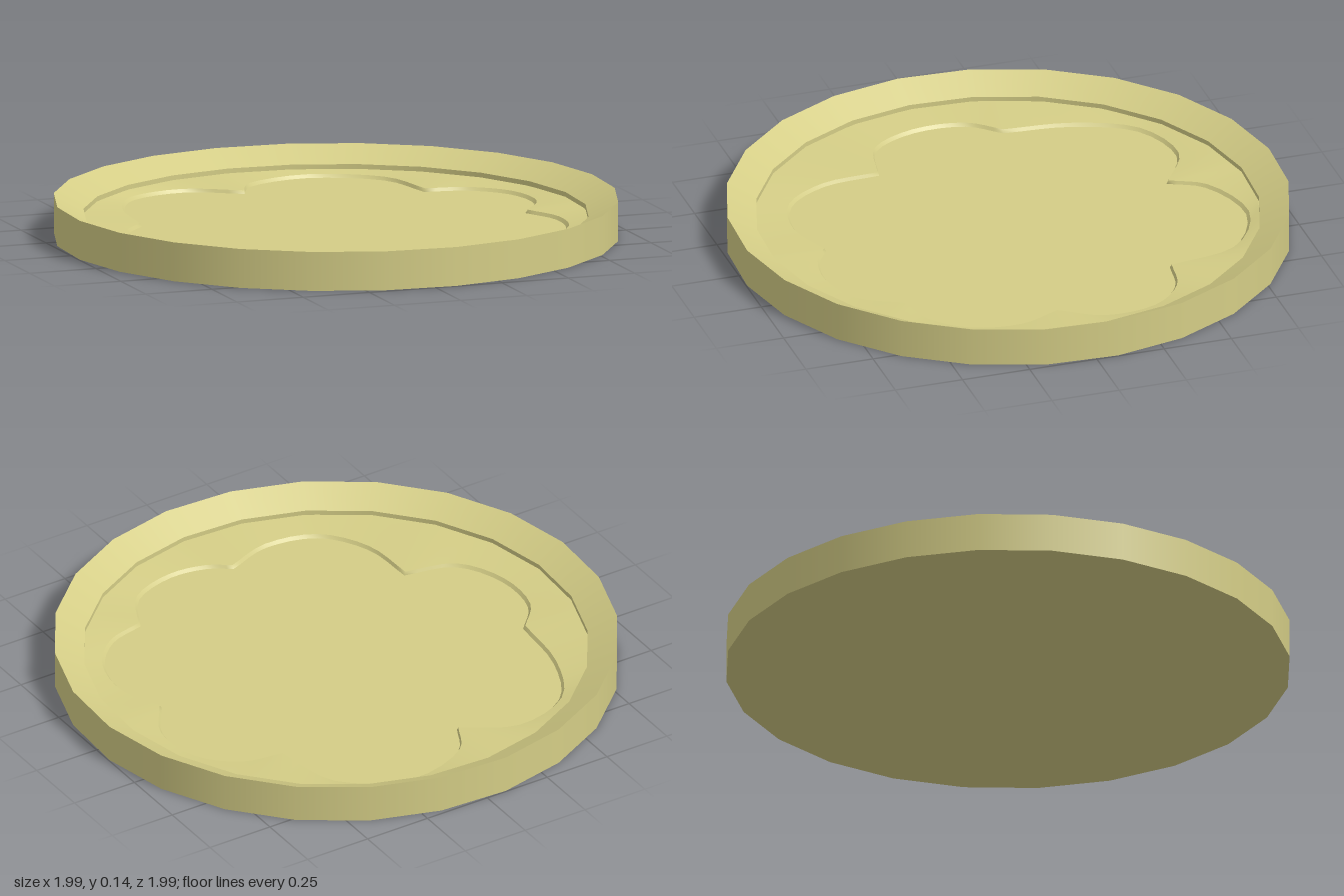
import * as THREE from 'three';

const SIDES = 24, TURN = 0.08; // coarse round dish, slightly turned
const RING = 0.895, RING_Y = 0.085, BED_Y = 0.068, LIP_Y = 0.057, FLOOR_Y = 0.045;

// Each lobe of the recess as [x, z]: the cusp it starts from, then three points on its arc
const LOBES = [
  [[0, 0.68], [0.08, 0.73], [0.22, 0.75], [0.39, 0.69]],
  [[0.48, 0.54], [0.62, 0.5], [0.73, 0.38], [0.76, 0.2]],
  [[0.7, 0.05], [0.79, -0.1], [0.77, -0.29], [0.65, -0.41]],
  [[0.5, -0.44], [0.44, -0.69], [0.2, -0.825], [-0.04, -0.75]],
  [[-0.11, -0.63], [-0.3, -0.73], [-0.52, -0.66], [-0.63, -0.45]],
  [[-0.66, -0.2], [-0.75, -0.09], [-0.76, 0.1], [-0.67, 0.27]],
  [[-0.49, 0.32], [-0.47, 0.53], [-0.36, 0.69], [-0.17, 0.735]],
];

// Outline of the recess, sampled lobe by lobe
function outline() {
  return LOBES.flatMap((lobe, i) => {
    const end = LOBES[(i + 1) % LOBES.length][0];
    const pts = [...lobe, end].map(([x, z]) => new THREE.Vector3(x, 0, z));
    return new THREE.CatmullRomCurve3(pts, false, 'centripetal').getPoints(16).slice(0, -1);
  });
}

// Point on the many-sided inner ring in the same direction as p
function onRing(p) {
  const phi = Math.atan2(p.x, p.z), step = (2 * Math.PI) / SIDES;
  const k = (((phi - TURN) % step) + step) % step;
  const r = (RING * Math.cos(step / 2)) / Math.cos(k - step / 2);
  return new THREE.Vector3(r * Math.sin(phi), BED_Y, r * Math.cos(phi));
}

// Upward-facing skin between an inner and an outer closed loop
function loft(inner, outer) {
  const n = inner.length, index = [];
  for (let i = 0; i < n; i++) {
    const j = (i + 1) % n;
    index.push(i, n + i, n + j, i, n + j, j);
  }
  const g = new THREE.BufferGeometry().setFromPoints([...inner, ...outer]);
  g.setIndex(index);
  g.computeVertexNormals();
  return g;
}

export function createModel() {
  const group = new THREE.Group();
  group.name = 'shallowDish';
  const material = new THREE.MeshStandardMaterial({ color: 0xd4cd86, side: THREE.DoubleSide });
  const add = (name, geometry) => {
    const mesh = new THREE.Mesh(geometry, material);
    mesh.name = name;
    group.add(mesh);
  };
  const band = (name, r0, y0, r1, y1) => add(name, new THREE.LatheGeometry(
    [new THREE.Vector2(r0, y0), new THREE.Vector2(r1, y1)], SIDES, TURN));

  // Base, wall, inward-sloping rim and the small step inside it
  band('base', 0, 0, 1, 0);
  band('outerWall', 1, 0, 1, 0.14);
  band('rim', 1, 0.14, RING, RING_Y);
  band('rimStep', RING, RING_Y, RING, BED_Y);

  // Sloping bed, lip and flat floor of the lobed recess
  const edge = outline();
  const at = (y, s) => edge.map((p) => new THREE.Vector3(p.x * s, y, p.z * s));
  const lip = at(LIP_Y, 1.006), floor = at(FLOOR_Y, 0.994);
  add('slopingBed', loft(lip, edge.map(onRing)));
  add('recessLip', loft(floor, lip));
  add('recessFloor', loft(at(FLOOR_Y, 0), floor));
  return group;
}
